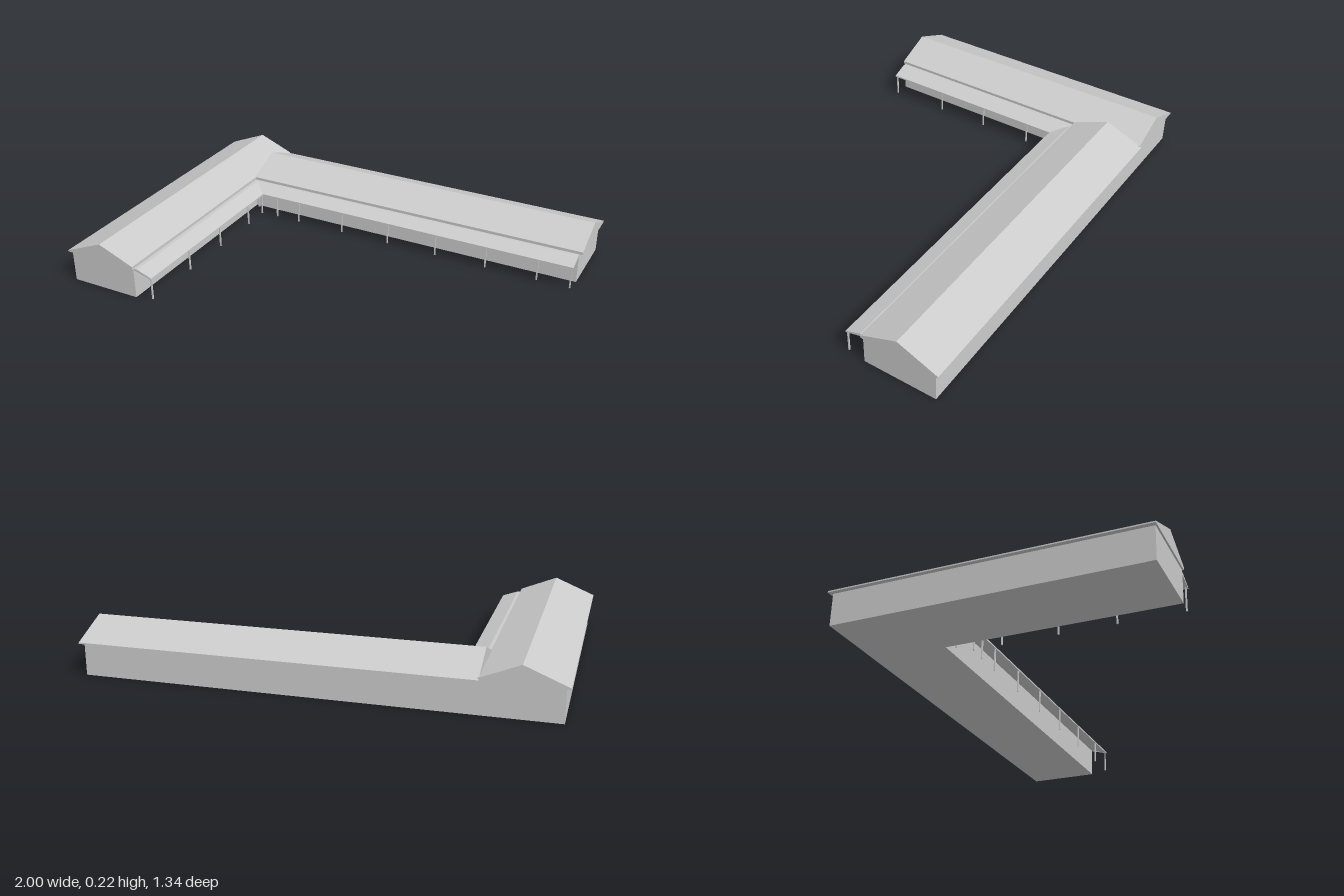
import * as THREE from 'three';

const grey = new THREE.MeshStandardMaterial({ color: 0xcccccc, flatShading: true, side: THREE.DoubleSide });

function add(group, name, geometry) {
  const mesh = new THREE.Mesh(geometry, grey);
  mesh.name = name;
  group.add(mesh);
  return mesh;
}

// Solid between two matching cross-sections (arrays of [x, y, z])
function loft(a, b) {
  const n = a.length, index = [];
  for (let i = 0; i < n; i++) {
    const j = (i + 1) % n;
    index.push(i, j, n + j, i, n + j, n + i);
  }
  for (let i = 1; i < n - 1; i++) index.push(0, i + 1, i, n, n + i, n + i + 1);
  const g = new THREE.BufferGeometry();
  g.setAttribute('position', new THREE.Float32BufferAttribute([...a, ...b].flat(), 3));
  g.setIndex(index);
  const flat = g.toNonIndexed();
  flat.computeVertexNormals();
  return flat;
}

function box(x0, x1, y0, y1, z0, z1) {
  return new THREE.BoxGeometry(x1 - x0, y1 - y0, z1 - z0)
    .translate((x0 + x1) / 2, (y0 + y1) / 2, (z0 + z1) / 2);
}

export function createModel() {
  const model = new THREE.Group();
  model.name = 'lShapedBuilding';

  // Walls of the two wings
  add(model, 'longWingWalls', box(-0.655, 0.985, 0, 0.143, -0.652, -0.325));
  add(model, 'sideWingWalls', box(-0.982, -0.655, 0, 0.143, -0.652, 0.663));

  // Gable roofs: [across, height], outer eave hangs lower than the courtyard eave
  const sideProfile = [[-1, 0.14], [-0.655, 0.14], [-0.655, 0.153], [-0.82, 0.22], [-1, 0.146]];
  add(model, 'sideWingRoof', loft(
    sideProfile.map(([x, y]) => [x, y, -0.665]),
    sideProfile.map(([x, y]) => [x, y, 0.67])));
  const longProfile = [[-0.672, 0.14], [-0.325, 0.14], [-0.325, 0.153], [-0.492, 0.22], [-0.672, 0.146]];
  add(model, 'longWingRoof', loft(
    longProfile.map(([z, y]) => [1, y, z]),
    longProfile.map(([z, y]) => [-0.66, y, z])));

  // Veranda roofs, meeting in a mitre: [distance inward from the eave, height]
  const eaveX = -0.567, eaveZ = -0.242;
  const veranda = [[0, 0.108], [0, 0.115], [0.07, 0.14], [0.088, 0.14], [0.088, 0.133], [0.07, 0.133]];
  const mitre = veranda.map(([d, y]) => [eaveX - d, y, eaveZ - d]);
  add(model, 'longVerandaRoof', loft(mitre, veranda.map(([d, y]) => [0.985, y, eaveZ - d])));
  add(model, 'sideVerandaRoof', loft(veranda.map(([d, y]) => [eaveX - d, y, 0.66]), mitre));

  // Veranda posts
  const posts = new THREE.Group();
  posts.name = 'verandaPosts';
  model.add(posts);
  const post = (x, z, top = 0.113) =>
    add(posts, 'post', box(x - 0.003, x + 0.003, 0.01, top, z - 0.003, z + 0.003));
  for (const x of [-0.49, -0.37, -0.135, 0.105, 0.345, 0.588, 0.828, 0.978]) post(x, -0.248);
  for (const z of [0.652, 0.375, 0.13, -0.116, -0.242]) post(-0.574, z);
  post(-0.624, -0.296, 0.131);

  return model;
}
